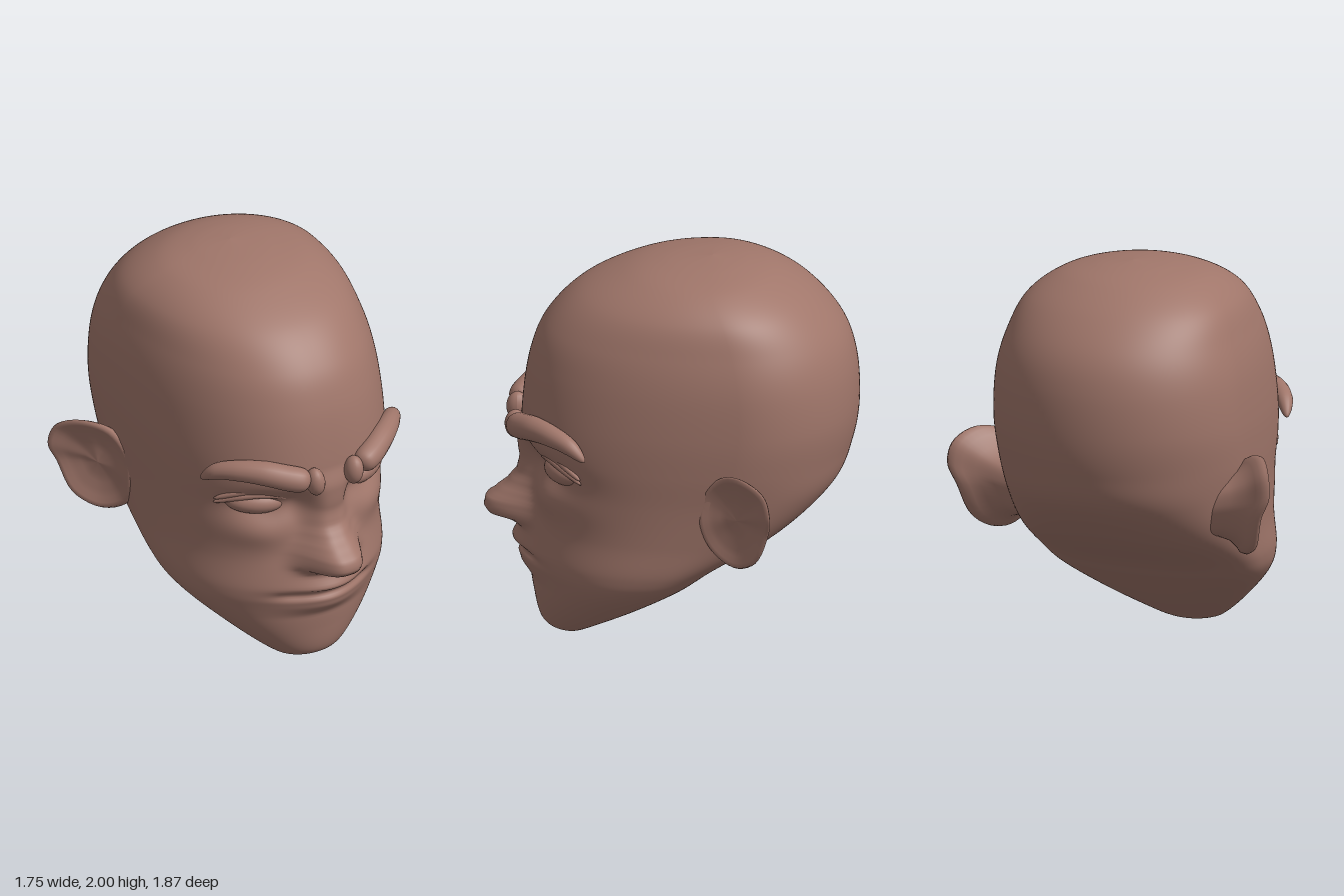
import * as THREE from 'three';

// Closed loft through rings of equal length (rings run counter-clockwise about the loft direction)
function loft(rings) {
  const n = rings[0].length, pos = [], index = [];
  for (const ring of rings) for (const p of ring) pos.push(p.x, p.y, p.z);
  for (let i = 0; i < rings.length - 1; i++) {
    for (let j = 0; j < n; j++) {
      const a = i * n + j, b = i * n + (j + 1) % n;
      index.push(a, b, b + n, a, b + n, a + n);
    }
  }
  const g = new THREE.BufferGeometry();
  g.setAttribute('position', new THREE.Float32BufferAttribute(pos, 3));
  g.setIndex(index);
  g.computeVertexNormals();
  return g;
}

// Mirror across x = 0, keeping faces outward
function mirror(geometry) {
  const g = geometry.clone().scale(-1, 1, 1), ix = g.index.array;
  for (let i = 0; i < ix.length; i += 3) [ix[i], ix[i + 1]] = [ix[i + 1], ix[i]];
  g.computeVertexNormals();
  return g;
}

// Smooth lookup in rows sorted by their first column
function lookup(rows, y, col) {
  if (y <= rows[0][0]) return rows[0][col];
  for (let i = 1; i < rows.length; i++) {
    if (y > rows[i][0]) continue;
    const [a, b] = [rows[i - 1], rows[i]], t = (y - a[0]) / (b[0] - a[0]);
    return THREE.MathUtils.lerp(a[col], b[col], (t + t * t * (3 - 2 * t)) / 2);
  }
  return rows[rows.length - 1][col];
}

// Tube with a radius at each point [x, y, z, r], closed to rounded ends
function taperTube(points, steps = 36, sides = 14) {
  const curve = new THREE.CatmullRomCurve3(points.map(p => new THREE.Vector3(p[0], p[1], p[2])));
  const rings = [];
  for (let i = 0; i <= steps; i++) {
    const t = (1 - Math.cos(Math.PI * i / steps)) / 2;
    const c = curve.getPoint(t), T = curve.getTangent(t);
    const N = new THREE.Vector3(0, 1, 0).addScaledVector(T, -T.y).normalize();
    const B = new THREE.Vector3().crossVectors(T, N);
    const f = t * (points.length - 1), k = Math.min(Math.floor(f), points.length - 2);
    const cap = Math.pow(Math.max(0, 1 - Math.pow(Math.abs(2 * t - 1), 10)), 0.5);
    const r = THREE.MathUtils.lerp(points[k][3], points[k + 1][3], f - k) * cap;
    rings.push(Array.from({ length: sides }, (_, j) => {
      const a = j / sides * Math.PI * 2;
      return c.clone().addScaledVector(N, r * Math.cos(a)).addScaledVector(B, r * Math.sin(a));
    }));
  }
  return loft(rings);
}

// Skull levels: height, front z, back z, half width, z of the widest point,
// squareness of the front and of the back
const SKULL = [
  [0, .48, .48, 0, .48, 2, 2], [.015, .58, .43, .12, .5, 2, 2],
  [.06, .65, .35, .21, .47, 2, 2.2], [.19, .685, .12, .365, .36, 2, 2.5],
  [.35, .70, -.12, .525, .2, 2, 2.6], [.47, .73, -.28, .582, .08, 2.05, 2.6],
  [.65, .70, -.59, .597, -.07, 2.2, 2.5], [.86, .69, -.82, .615, -.2, 2.4, 2.2],
  [1.05, .745, -.9, .637, -.3, 2.4, 2], [1.25, .742, -.93, .647, -.34, 2.35, 2],
  [1.48, .705, -.915, .634, -.34, 2.25, 2], [1.66, .63, -.85, .592, -.31, 2.2, 2],
  [1.82, .475, -.71, .523, -.26, 2.15, 2], [1.93, .25, -.54, .385, -.2, 2.1, 2],
  [1.98, .05, -.38, .2, -.2, 2, 2], [2, -.2, -.2, 0, -.2, 2, 2],
];
// Nose: height, projection, half width
const NOSE = [
  [.56, 0, .15], [.595, .07, .152], [.62, .19, .155], [.65, .225, .155], [.69, .235, .15],
  [.73, .185, .138], [.78, .13, .122], [.84, .085, .11], [.93, .055, .1], [1.04, .03, .11],
  [1.15, 0, .14],
];
// Mouth: height, projection
const MOUTH = [
  [.2, 0], [.3, .008], [.37, .048], [.41, .046], [.442, .016], [.455, .024],
  [.487, .068], [.54, .05], [.59, .04], [.68, 0],
];

const bump = (x, y, cx, cy, rx, ry) => Math.exp(-(((x - cx) / rx) ** 2) - ((y - cy) / ry) ** 2);

// Forward relief of the face
function relief(px, y) {
  const x = Math.abs(px);
  return lookup(NOSE, y, 1) * Math.exp(-((x / lookup(NOSE, y, 2)) ** 3.2))
    + lookup(MOUTH, y, 1) * Math.exp(-((x / .21) ** 2))
    - .014 * bump(x, y, .2, .445, .08, .025)
    - .075 * bump(x, y, .31, .96, .15, .085)
    - .03 * bump(x, y, .16, .97, .06, .09)
    + .025 * bump(x, y, .35, .8, .14, .08);
}

function headGeometry(sub = 12, sides = 176) {
  const rings = [], last = SKULL.length - 1;
  const spline = (i, t, c) => {
    const p = k => SKULL[Math.min(Math.max(k, 0), last)][c];
    const m1 = (p(i + 1) - p(i - 1)) / 2, m2 = (p(i + 2) - p(i)) / 2;
    const t2 = t * t, t3 = t2 * t;
    return (2 * t3 - 3 * t2 + 1) * p(i) + (t3 - 2 * t2 + t) * m1
      + (3 * t2 - 2 * t3) * p(i + 1) + (t3 - t2) * m2;
  };
  for (let s = 0; s <= last * sub; s++) {
    const i = Math.min(Math.floor(s / sub), last - 1), t = s / sub - i;
    const [y, front, back, width, mid, sqFront, sqBack] =
      SKULL[0].map((_, c) => spline(i, t, c));
    rings.push(Array.from({ length: sides }, (_, j) => {
      const u = j / sides * Math.PI * 2, a = u - .55 * Math.sin(u); // denser at the face
      const sn = Math.sin(a), cs = Math.cos(a), e = 2 / (cs > 0 ? sqFront : sqBack);
      const x = width * Math.sign(sn) * Math.abs(sn) ** e;
      let z = mid + (cs > 0 ? front - mid : back - mid) * Math.abs(cs) ** e;
      if (cs > 0) z += relief(x, y) * THREE.MathUtils.smoothstep(z, .1, .35);
      return new THREE.Vector3(x, y, z);
    }));
  }
  return loft(rings);
}

// Ear: a rim outline scaled into a buried root, shell back, rim and shallow bowl
function earGeometry() {
  const rim = new THREE.CatmullRomCurve3([
    [.66, 1.07, -.26], [.605, .95, -.17], [.595, .8, -.155], [.595, .655, -.215], [.67, .595, -.33],
    [.765, .66, -.44], [.82, .83, -.505], [.868, .94, -.515], [.85, 1.05, -.485], [.77, 1.11, -.37],
  ].map(p => new THREE.Vector3(...p)), true).getPoints(48).slice(0, 48);
  const centre = new THREE.Vector3(.725, .86, -.335), out = new THREE.Vector3(.95, .15, .22);
  const levels = [
    [.5, -.28], [.58, -.17], [.7, -.1], [.86, -.055], [.96, -.035], [1, -.005], [.97, .012],
    [.88, .006], [.76, -.012], [.62, -.022], [.46, -.036], [.28, -.044], [0, -.044],
  ];
  return loft(levels.map(([k, d]) =>
    rim.map(p => centre.clone().lerp(p, k).addScaledVector(out, d))));
}

export function createModel() {
  const model = new THREE.Group();
  model.name = 'head';
  const skin = new THREE.MeshStandardMaterial({ color: 0xa0766a });
  skin.name = 'skin';

  const add = (name, geometry) => {
    const mesh = new THREE.Mesh(geometry, skin);
    mesh.name = name;
    model.add(mesh);
  };
  const addPair = (name, geometry) => {
    add('left' + name, geometry);
    add('right' + name, mirror(geometry));
  };

  add('skullAndFace', headGeometry());
  addPair('Ear', earGeometry());

  // Eyeballs turned outward with the curve of the face
  const eye = new THREE.SphereGeometry(1, 32, 20).scale(.155, .068, .09);
  addPair('Eye', eye.rotateZ(.06).rotateY(.5).translate(.31, .958, .52));

  // Eyelids and the fold above them
  addPair('UpperLid', taperTube([
    [.165, .955, .615, .012], [.22, 1.0, .63, .016], [.31, 1.02, .602, .018],
    [.4, 1.005, .54, .017], [.5, .958, .435, .012],
  ]));
  addPair('LidFold', taperTube([
    [.17, 1.005, .63, .012], [.23, 1.03, .622, .016], [.32, 1.045, .59, .018],
    [.42, 1.025, .525, .016], [.5, .98, .44, .012],
  ]));

  // Heavy brows, with a small knot at the inner end of each
  addPair('Brow', taperTube([
    [.145, 1.135, .78, .068], [.24, 1.16, .735, .066], [.34, 1.187, .67, .063],
    [.44, 1.19, .58, .054], [.515, 1.165, .49, .042], [.56, 1.105, .415, .02],
  ], 48, 18));
  const knot = new THREE.SphereGeometry(1, 20, 14).scale(.047, .075, .055);
  addPair('BrowKnot', knot.rotateZ(-.08).translate(.112, 1.122, .775));

  return model;
}
